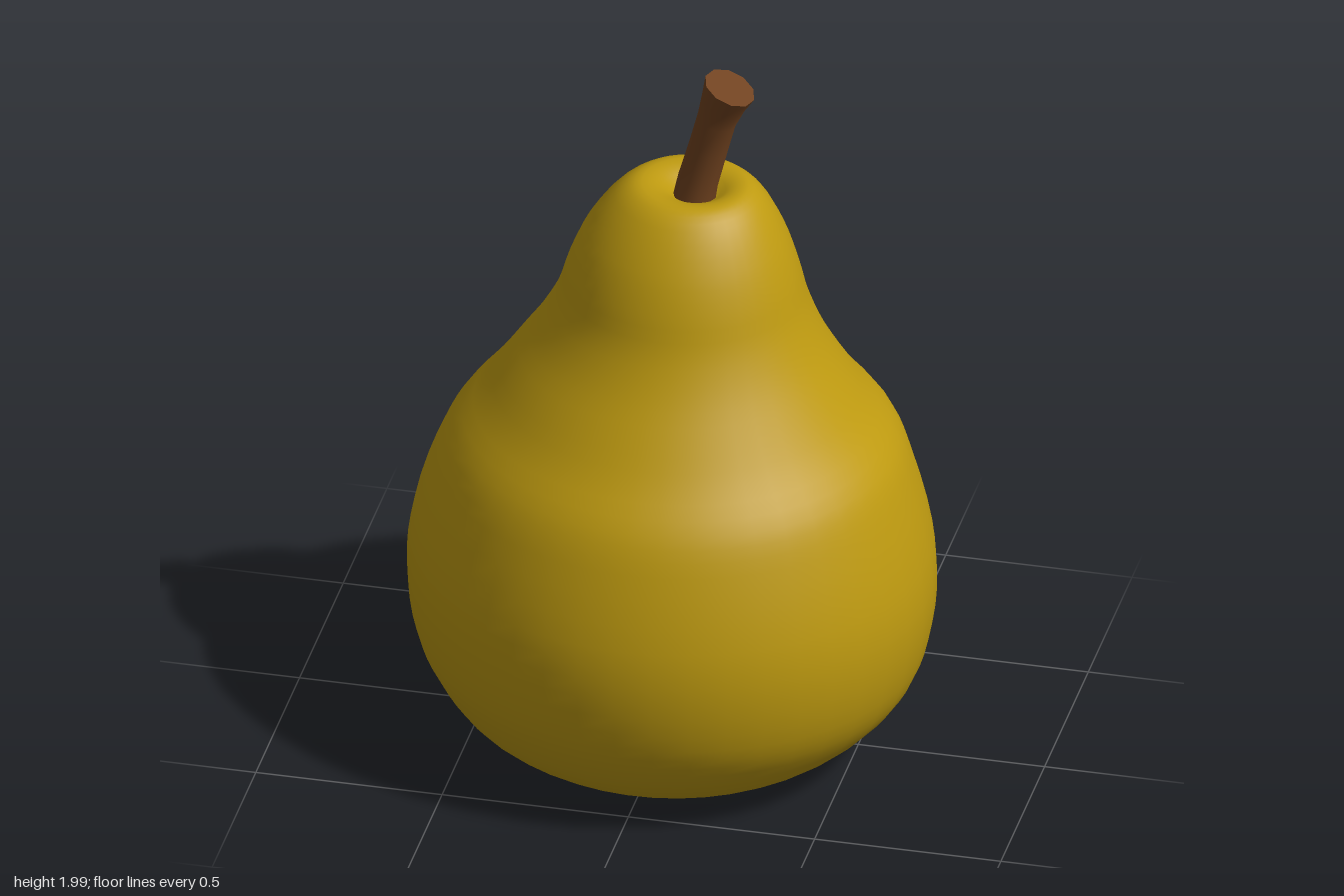
import * as THREE from 'three';

// Closed loops of points, bottom to top, joined into a smooth skin
function loft(rings) {
  const n = rings[0].length, index = [];
  for (let i = 0; i < rings.length - 1; i++) {
    for (let j = 0; j < n; j++) {
      const k = (j + 1) % n;
      const a = i * n + j, b = i * n + k, c = a + n, d = b + n;
      index.push(a, c, b, b, c, d);
    }
  }
  const geo = new THREE.BufferGeometry().setFromPoints(rings.flat());
  geo.setIndex(index);
  geo.computeVertexNormals();
  return geo;
}

const angles = (n) => Array.from({ length: n }, (_, j) => (j / n) * Math.PI * 2);

export function createModel() {
  const group = new THREE.Group();
  const skin = new THREE.MeshStandardMaterial({ color: 0xbe9a10 });
  const bark = new THREE.MeshStandardMaterial({ color: 0x70421f });
  const add = (name, geo, mat) => {
    const mesh = new THREE.Mesh(geo, mat);
    mesh.name = name;
    group.add(mesh);
    return mesh;
  };

  // Fruit profile: radius, height, sideways shift of the ring
  const profile = [
    [0.002, 0.06, 0], [0.1, 0.05, 0], [0.22, 0.022, -0.01], [0.34, 0.003, -0.02],
    [0.435, 0.025, -0.015], [0.55, 0.1, -0.01], [0.633, 0.2, 0], [0.677, 0.3, 0],
    [0.7, 0.45, 0], [0.69, 0.6, 0], [0.635, 0.8, 0.005], [0.59, 0.9, 0.01],
    [0.51, 1.0, 0.01], [0.442, 1.1, 0.012], [0.38, 1.2, 0.02], [0.334, 1.3, 0.027],
    [0.305, 1.4, 0.03], [0.265, 1.5, 0.035], [0.2, 1.6, 0.045], [0.15, 1.636, 0.05],
    [0.1, 1.632, 0.055], [0.05, 1.605, 0.06], [0.002, 1.595, 0.06],
  ].map((p) => new THREE.Vector3(...p));
  const rows = new THREE.CatmullRomCurve3(profile).getPoints(66);
  const fruit = rows.map(({ x: r, y, z: shift }) => angles(44).map((a) => {
    const s = Math.max(r, 0.001) * (1 + 0.02 * Math.sin(2 * a)); // slightly lopsided
    return new THREE.Vector3(shift + s * Math.cos(a), y, -0.3 * shift + 0.965 * s * Math.sin(a));
  }));
  add('fruit', loft(fruit), skin);

  // Small ring in the hollow underneath
  const blossomEnd = add('blossomEnd', new THREE.TorusGeometry(0.026, 0.008, 6, 16), skin);
  blossomEnd.rotation.x = Math.PI / 2;
  blossomEnd.position.y = 0.057;

  // Leaning stem: centre, radius, axis direction
  const up = new THREE.Vector3(0, 1, 0);
  const tilt = (d) => new THREE.Quaternion().setFromUnitVectors(up, new THREE.Vector3(...d).normalize());
  const stemRows = [
    [[0.055, 1.58, -0.002], 0.057, [0.22, 1, 0]],
    [[0.07, 1.66, 0], 0.054, [0.24, 1, 0.03]],
    [[0.1, 1.77, 0.008], 0.052, [0.26, 1, 0.07]],
    [[0.124, 1.86, 0.018], 0.052, [0.3, 1, 0.09]],
    [[0.144, 1.92, 0.027], 0.06, [0.38, 1, 0.09]],
    [[0.163, 1.969, 0.034], 0.071, [0.44, 1, 0.07]],
  ];
  const stem = stemRows.map(([c, r, d]) => angles(10).map((a) =>
    new THREE.Vector3(r * Math.cos(a), 0, r * Math.sin(a))
      .applyQuaternion(tilt(d)).add(new THREE.Vector3(...c))));
  add('stem', loft(stem), bark);

  // Flat cut end of the stem
  const [c, r, d] = stemRows[stemRows.length - 1];
  const tip = add('stemTip', new THREE.CircleGeometry(r, 10).rotateX(-Math.PI / 2), bark);
  tip.quaternion.copy(tilt(d));
  tip.position.set(...c);

  return group;
}
